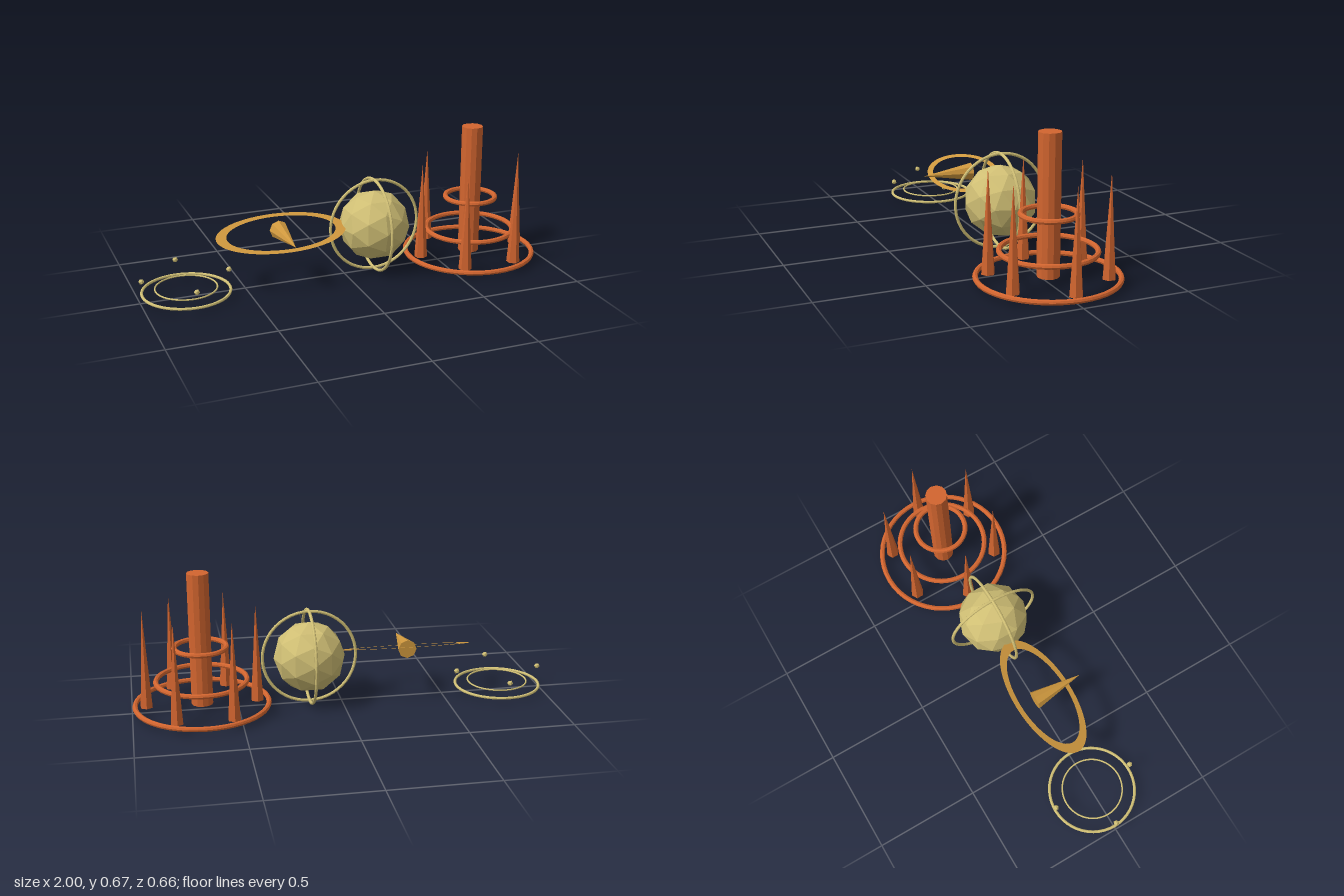
import * as THREE from 'three';

export function createModel() {
  const model = new THREE.Group();
  model.name = 'model';

  const flat = (name, color, extra = {}) =>
    new THREE.MeshStandardMaterial({ name, color, flatShading: true, ...extra });
  const orange = flat('burnt orange', 0xd2652f);
  const sand = flat('pale sand', 0xcfbe74);
  const gold = flat('gold', 0xcf983e, { side: THREE.DoubleSide });

  const group = (name, x, y) => {
    const g = new THREE.Group();
    g.name = name;
    g.position.set(x, y, 0);
    model.add(g);
    return g;
  };
  const add = (parent, name, geometry, material, x = 0, y = 0, z = 0) => {
    const mesh = new THREE.Mesh(geometry, material);
    mesh.name = name;
    mesh.position.set(x, y, z);
    parent.add(mesh);
    return mesh;
  };
  const hoop = (radius, tube) => new THREE.TorusGeometry(radius, tube, 8, 48);
  const flatHoop = (radius, tube) => hoop(radius, tube).rotateX(Math.PI / 2);

  // Tower: column, three stacked hoops and six spikes
  const tower = group('tower', 0.67, 0);
  add(tower, 'column', new THREE.CylinderGeometry(0.051, 0.051, 0.642, 12), orange, 0, 0.354);
  [[0.316, 0.033], [0.214, 0.15], [0.122, 0.315]].forEach(([radius, y]) =>
    add(tower, 'towerHoop', flatHoop(radius, 0.0125), orange, 0, y));
  for (let i = 0; i < 6; i++) {
    const a = i * Math.PI / 3;
    add(tower, 'spike', new THREE.ConeGeometry(0.032, 0.475, 6), orange,
      0.262 * Math.cos(a), 0.27, 0.262 * Math.sin(a));
  }

  // Faceted ball inside two crossed upright hoops
  const orb = group('orb', 0.155, 0.235);
  add(orb, 'ball', new THREE.IcosahedronGeometry(0.172, 1), sand);
  add(orb, 'frontHoop', hoop(0.225, 0.0075), sand);
  add(orb, 'sideHoop', hoop(0.225, 0.0075).rotateY(Math.PI / 2), sand);

  // Tilted oval band with a cone pointing forward
  const pointer = group('pointer', -0.315, 0.256);
  const band = add(pointer, 'ovalBand',
    new THREE.RingGeometry(0.267, 0.318, 48).scale(1, 0.48, 1), gold);
  band.rotation.x = -Math.PI / 2 + 0.3;
  add(pointer, 'cone', new THREE.ConeGeometry(0.045, 0.25, 8).rotateX(Math.PI / 2), gold, 0, 0, 0.08);

  // Low double hoop with four floating beads
  const halo = group('halo', -0.783, 0);
  add(halo, 'outerHoop', flatHoop(0.205, 0.007), sand, 0, 0.033);
  add(halo, 'innerHoop', flatHoop(0.144, 0.004), sand, 0, 0.05);
  for (let i = 0; i < 4; i++) {
    const a = i * Math.PI / 2;
    add(halo, 'bead', new THREE.IcosahedronGeometry(0.014, 0), sand,
      0.206 * Math.cos(a), 0.11, 0.206 * Math.sin(a));
  }

  return model;
}
